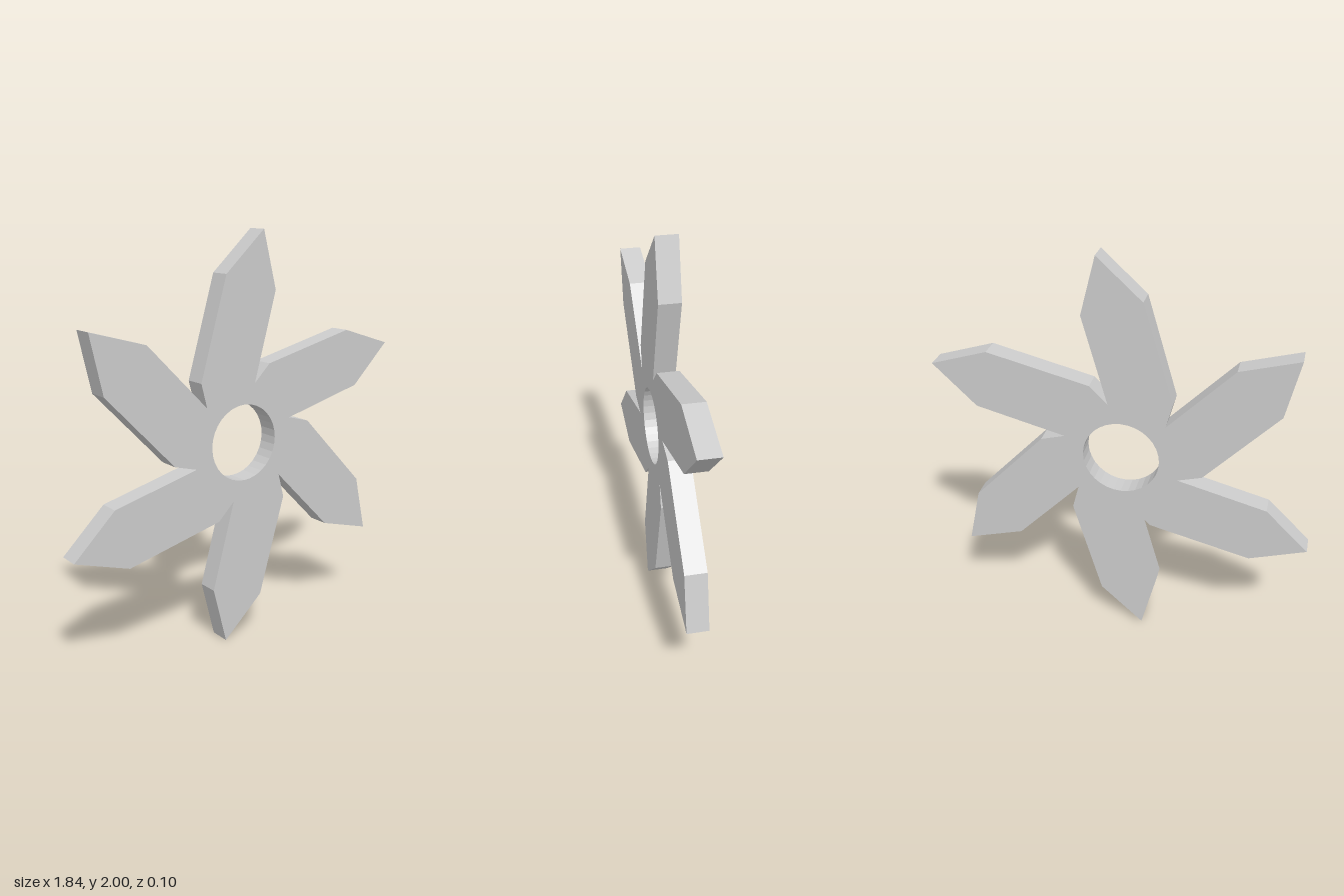
import * as THREE from 'three';

const BLADES = 6;
const DEPTH = 0.105;
const HOLE_RADIUS = 0.187;

// One blade, clockwise from the notch on its left side
const BLADE = [
  [-0.214, 0.196], // notch
  [-0.245, 0.315], // shoulder
  [-0.102, 0.804], // left edge of the point
  [0.112, 1.0],    // tip
  [0.184, 0.717],  // right edge of the point
];

export function createModel() {
  const group = new THREE.Group();
  group.name = 'bladedWheel';

  // Outline: the blade repeated around the centre
  const outline = [];
  for (let i = 0; i < BLADES; i++) {
    const angle = -i * 2 * Math.PI / BLADES;
    for (const [x, y] of BLADE) {
      outline.push(new THREE.Vector2(x, y).rotateAround(new THREE.Vector2(), angle));
    }
  }
  const shape = new THREE.Shape(outline);

  // Round centre hole
  const hole = new THREE.Path();
  hole.absarc(0, 0, HOLE_RADIUS, 0, Math.PI * 2, false);
  shape.holes.push(hole);

  // Flat plate, standing upright on the lowest tip
  const geometry = new THREE.ExtrudeGeometry(shape, {
    depth: DEPTH, bevelEnabled: false, curveSegments: 16,
  });
  geometry.translate(0, 1, -DEPTH / 2);

  const plate = new THREE.Mesh(
    geometry,
    new THREE.MeshStandardMaterial({ color: 0xcccccc, flatShading: true }),
  );
  plate.name = 'bladePlate';
  group.add(plate);
  return group;
}
